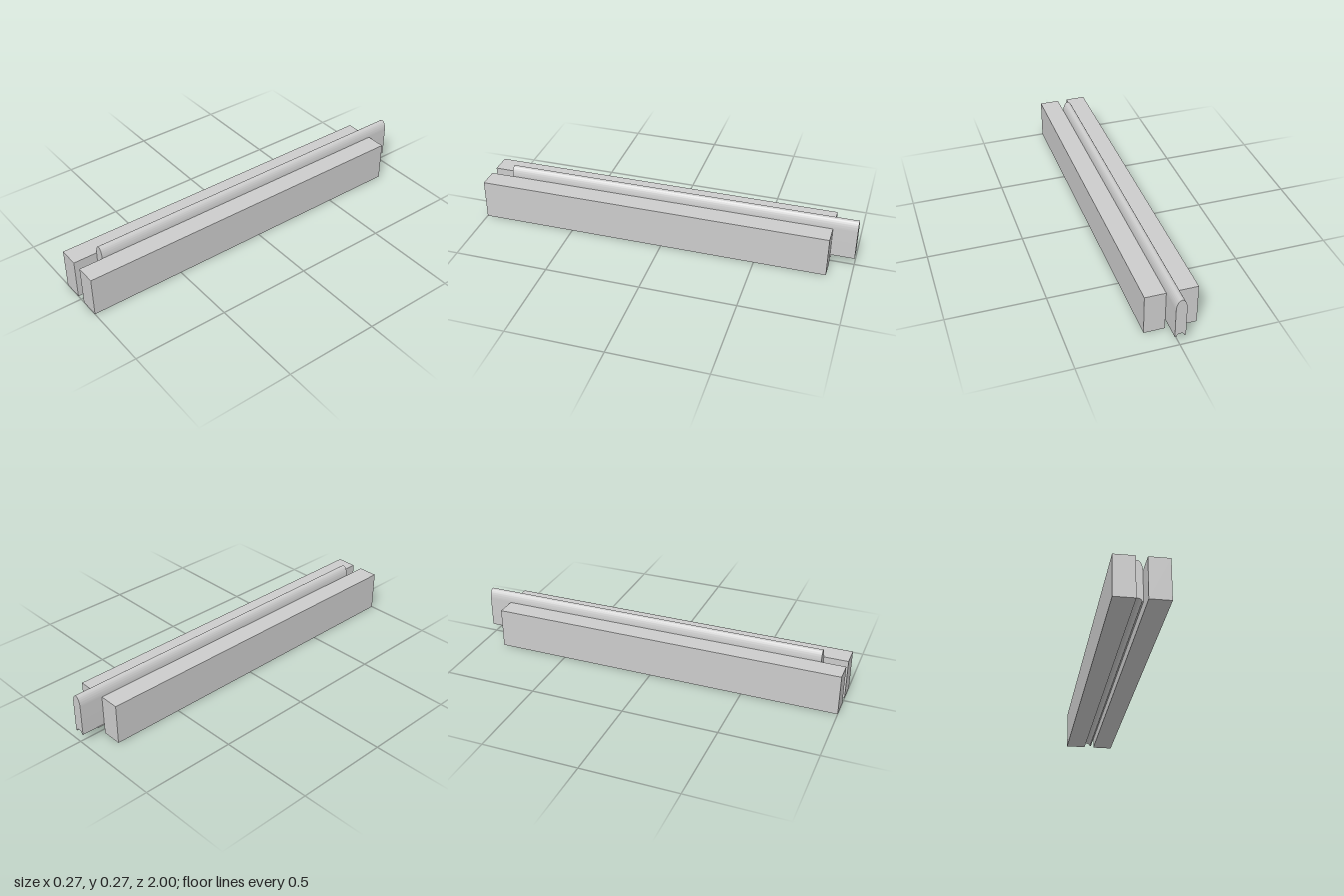
import * as THREE from 'three';
import { toCreasedNormals } from 'three/addons/utils/BufferGeometryUtils.js';

const HALF_GAP = 0.027;     // half the slot between the rails
const RAIL_WIDTH = 0.106;
const RAIL_HEIGHT = 0.214;
const LENGTH = 1.875;
const SHIFT = 0.0625;       // rails sit forward, the tongue sits back

export function createModel() {
  const group = new THREE.Group();
  const material = new THREE.MeshStandardMaterial({ color: 0xcccccc });

  // Two square-edged rails, mirrored across the slot
  for (const [name, side] of [['leftRail', 1], ['rightRail', -1]]) {
    const rail = new THREE.Mesh(new THREE.BoxGeometry(RAIL_WIDTH, RAIL_HEIGHT, LENGTH), material);
    rail.name = name;
    rail.position.set(side * (HALF_GAP + RAIL_WIDTH / 2), RAIL_HEIGHT / 2, SHIFT);
    group.add(rail);
  }

  // Sliding tongue: domed top, straight sides, grooved underside
  const base = 0.055;
  const profile = new THREE.Shape();
  profile.moveTo(-HALF_GAP, base);
  profile.lineTo(-0.02, base);
  profile.absellipse(0, base, 0.02, 0.0155, Math.PI, 0, true);
  profile.lineTo(HALF_GAP, base);
  profile.lineTo(HALF_GAP, RAIL_HEIGHT);
  profile.absellipse(0, RAIL_HEIGHT, HALF_GAP, 0.054, 0, Math.PI, false);
  profile.closePath();

  const geometry = new THREE.ExtrudeGeometry(profile, { depth: LENGTH, bevelEnabled: false, curveSegments: 20 });
  const tongue = new THREE.Mesh(toCreasedNormals(geometry, 0.6), material);
  tongue.name = 'slidingTongue';
  tongue.position.z = -LENGTH / 2 - SHIFT;
  group.add(tongue);

  return group;
}
